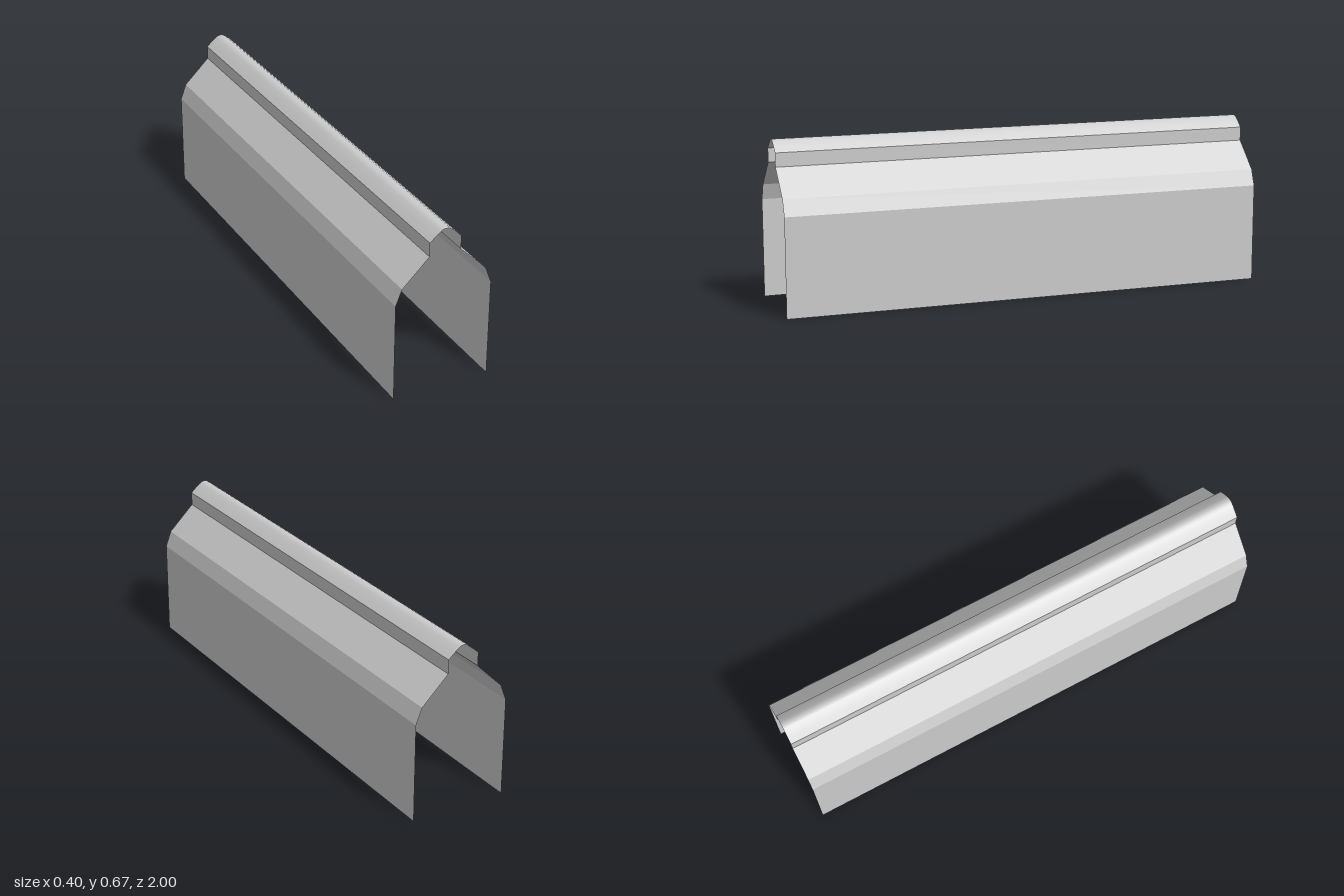
import * as THREE from 'three';

const LENGTH = 2;

// Thin open sheet: a cross-section (x, y) run along z
function sheet(name, points, smooth) {
  const positions = [];
  const index = [];
  for (const [x, y] of points) {
    positions.push(x, y, LENGTH / 2, x, y, -LENGTH / 2);
  }
  for (let i = 0; i < points.length - 1; i++) {
    const a = i * 2;
    index.push(a, a + 2, a + 3, a, a + 3, a + 1);
  }
  const geometry = new THREE.BufferGeometry();
  geometry.setAttribute('position', new THREE.Float32BufferAttribute(positions, 3));
  geometry.setIndex(index);
  geometry.computeVertexNormals();
  const material = new THREE.MeshStandardMaterial({
    color: 0xcccccc, side: THREE.DoubleSide, flatShading: !smooth,
  });
  const mesh = new THREE.Mesh(geometry, material);
  mesh.name = name;
  return mesh;
}

// Left half of a section swapped to the other side, keeping the outward facing
const mirror = (points) => points.map(([x, y]) => [-x, y]).reverse();

export function createModel() {
  const group = new THREE.Group();
  group.name = 'ridgedCover';

  // Side wall, bevelled shoulder, sloping roof and upright below the ridge cap
  const side = [[-0.2, 0], [-0.2, 0.4], [-0.175, 0.465], [-0.065, 0.572], [-0.065, 0.628]];
  group.add(sheet('rightSide', side, false));
  group.add(sheet('leftSide', mirror(side), false));

  // Rounded ridge cap
  const capHalf = [[-0.065, 0.628], [-0.042, 0.649], [-0.022, 0.665], [-0.011, 0.671]];
  group.add(sheet('ridgeCap', [...capHalf, [0, 0.673], ...mirror(capHalf)], true));

  return group;
}
